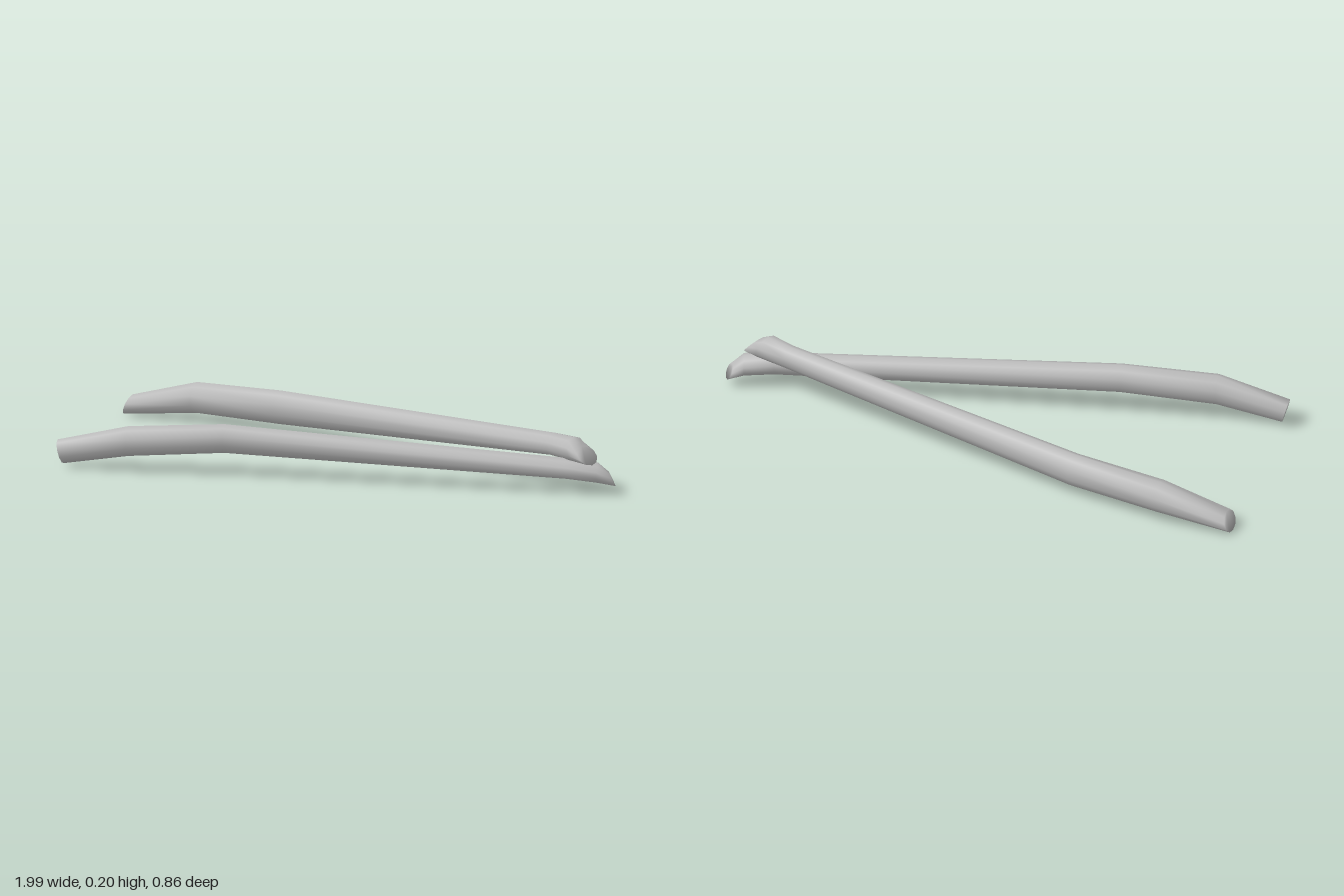
import * as THREE from 'three';

const SIDES = 10;

// Lofted bar. Each section: [x, y, z, half width, half height, lean of the top along the run]
function bar(name, sections, material) {
  const pos = [], idx = [];
  const centres = sections.map(s => new THREE.Vector3(s[0], s[1], s[2]));
  const last = sections.length - 1;
  sections.forEach(([x, y, z, w, h, lean = 0], i) => {
    const run = centres[Math.min(i + 1, last)].clone().sub(centres[Math.max(i - 1, 0)]).setY(0).normalize();
    for (let k = 0; k < SIDES; k++) {
      const a = (k / SIDES) * Math.PI * 2 + Math.PI / 2;
      const c = Math.cos(a) * w, s = Math.sin(a);
      pos.push(x - run.z * c + run.x * lean * s, y + s * h, z + run.x * c + run.z * lean * s);
    }
  });
  // side skin
  for (let i = 0; i < last; i++) {
    for (let k = 0; k < SIDES; k++) {
      const a = i * SIDES + k, b = i * SIDES + (k + 1) % SIDES;
      idx.push(a, a + SIDES, b, b, a + SIDES, b + SIDES);
    }
  }
  // end caps share the rim, so the shading rolls softly over the ends
  const end = last * SIDES;
  for (let k = 1; k < SIDES - 1; k++) {
    idx.push(0, k, k + 1, end, end + k + 1, end + k);
  }
  const geo = new THREE.BufferGeometry();
  geo.setAttribute('position', new THREE.Float32BufferAttribute(pos, 3));
  geo.setIndex(idx);
  geo.computeVertexNormals();
  const mesh = new THREE.Mesh(geo, material);
  mesh.name = name;
  return mesh;
}

export function createModel() {
  const group = new THREE.Group();
  group.name = 'crossedBars';
  const grey = new THREE.MeshStandardMaterial({ color: 0xbababa });
  grey.name = 'lightGrey';

  // straight lower bar along the front
  group.add(bar('lowerBar', [
    [-0.985, 0.053, 0.355, 0.038, 0.042, -0.012],
    [-0.74, 0.108, 0.375, 0.052, 0.054],
    [-0.40, 0.132, 0.363, 0.046, 0.052],
    [0.82, 0.088, 0.36, 0.043, 0.038],
    [0.93, 0.077, 0.355, 0.049, 0.036],
    [0.98, 0.053, 0.34, 0.034, 0.026, -0.012],
  ], grey));

  // diagonal upper bar resting on the lower one
  group.add(bar('upperBar', [
    [-0.893, 0.038, -0.385, 0.051, 0.036, 0.012],
    [-0.64, 0.088, -0.335, 0.06, 0.056],
    [-0.32, 0.099, -0.22, 0.048, 0.061],
    [0.76, 0.157, 0.295, 0.042, 0.041],
    [0.855, 0.157, 0.355, 0.05, 0.043, -0.015],
    [0.9, 0.144, 0.385, 0.044, 0.03, -0.025],
  ], grey));
  return group;
}
